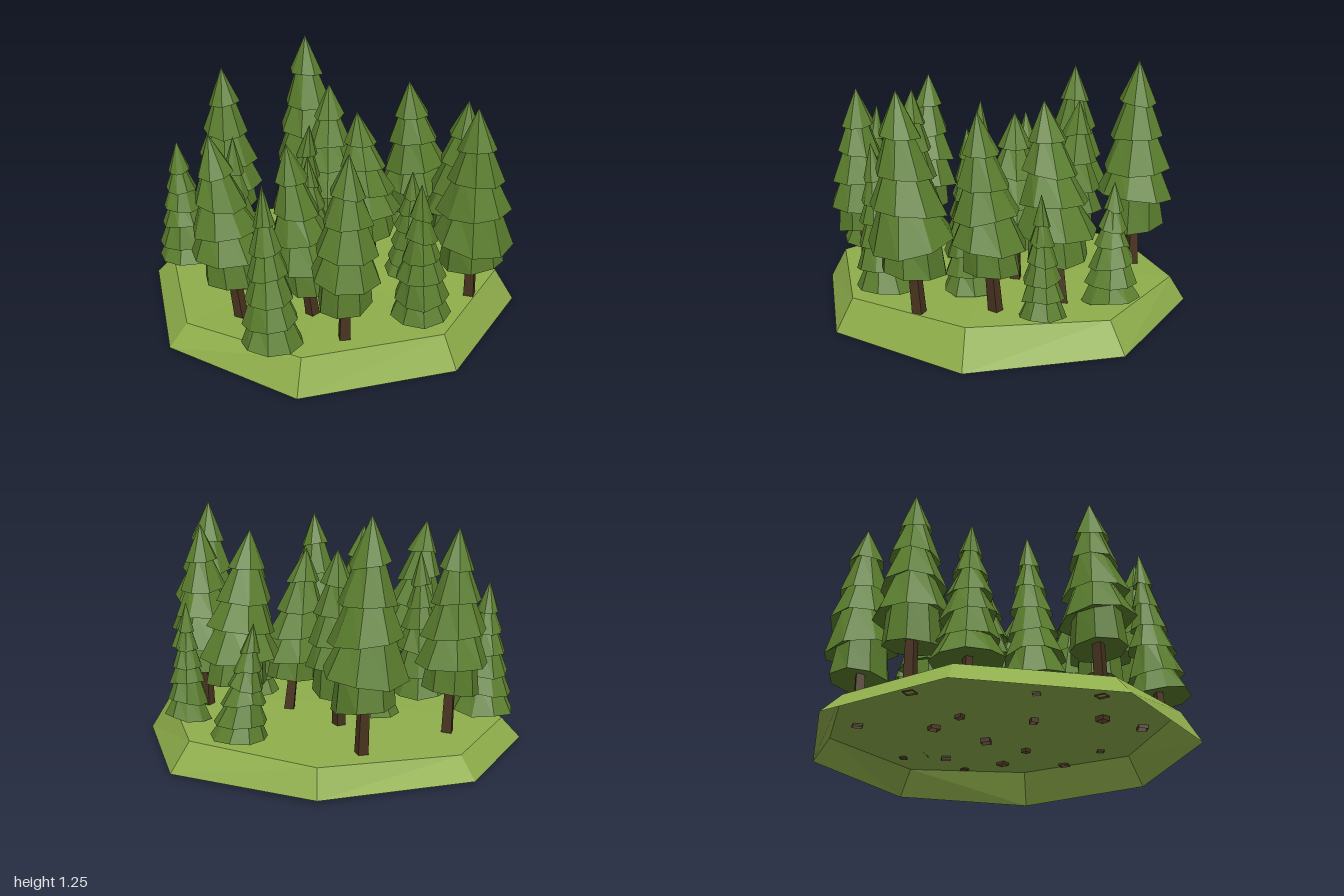
import * as THREE from 'three';

const flat = (name, color, extra = {}) => Object.assign(
  new THREE.MeshStandardMaterial({ color, flatShading: true, ...extra }), { name });

// Repeatable noise between -1 and 1
const noise = (a, b, c) => {
  const s = Math.sin(a * 12.99 + b * 78.23 + c * 37.72) * 43758.55;
  return (s - Math.floor(s)) * 2 - 1;
};

// Tier outlines from the underside to the tip: [share of radius, share of height]
const TALL = [[0, 0.05], [0.76, 0], [0.66, 0.22], [1, 0.18], [0.56, 0.41], [0.87, 0.36],
  [0.43, 0.6], [0.68, 0.55], [0.28, 0.79], [0.48, 0.75], [0, 1]];
const LOW = [[0, 0.04], [1, 0], [0.6, 0.18], [0.9, 0.14], [0.52, 0.34], [0.78, 0.3],
  [0.41, 0.49], [0.64, 0.45], [0.3, 0.64], [0.5, 0.6], [0.18, 0.79], [0.35, 0.76], [0, 1]];

// Base x, z; tip x, z; tip height; radius; foliage bottom; outline
const TREES = [
  [-0.15, -0.71, -0.21, -0.65, 0.73, 0.14, 0.17, LOW],
  [0.27, -0.73, 0.28, -0.72, 0.765, 0.115, 0.18, LOW],
  [0.06, -0.60, 0.08, -0.46, 1.13, 0.2, 0.37, TALL],
  [0.40, -0.53, 0.48, -0.50, 1.125, 0.18, 0.37, TALL],
  [-0.62, -0.34, -0.65, -0.31, 1.245, 0.205, 0.36, TALL],
  [0.71, -0.35, 0.76, -0.27, 1.215, 0.205, 0.37, TALL],
  [-0.27, -0.18, -0.32, -0.23, 1.055, 0.175, 0.33, TALL],
  [0.08, -0.23, 0.03, -0.145, 1.015, 0.18, 0.33, TALL],
  [0.36, -0.25, 0.39, -0.22, 0.78, 0.135, 0.19, LOW],
  [0.70, -0.02, 0.74, 0.05, 0.91, 0.155, 0.19, LOW],
  [-0.26, 0.04, -0.11, 0.06, 0.945, 0.165, 0.2, LOW],
  [0.09, 0.18, 0.09, 0.22, 0.88, 0.155, 0.2, LOW],
  [-0.64, 0.22, -0.665, 0.245, 1.155, 0.185, 0.34, TALL],
  [-0.56, 0.57, -0.565, 0.60, 0.84, 0.165, 0.16, LOW],
  [-0.15, 0.52, -0.17, 0.49, 0.965, 0.165, 0.18, LOW],
  [0.36, 0.39, 0.28, 0.48, 1.07, 0.165, 0.33, TALL],
  [0.62, 0.40, 0.645, 0.40, 1.12, 0.175, 0.37, TALL],
  [0.12, 0.66, 0.03, 0.74, 1.10, 0.185, 0.35, TALL],
  [0.45, 0.70, 0.39, 0.69, 0.965, 0.15, 0.18, LOW],
];

// Open mound: an octagonal sloping wall and a slightly raised top
function groundGeometry() {
  const outer = [[0, 0.01, -1], [0.7, 0, -0.71], [0.985, 0, 0], [0.69, 0, 0.73],
    [-0.02, 0.005, 1], [-0.73, 0.01, 0.69], [-0.99, 0.01, 0.04], [-0.7, 0.015, -0.67]];
  const rim = [[0, 0.15, -0.89], [0.63, 0.175, -0.63], [0.89, 0.16, 0], [0.63, 0.165, 0.66],
    [-0.01, 0.115, 0.9], [-0.66, 0.115, 0.62], [-0.89, 0.11, 0.05], [-0.64, 0.14, -0.62]];
  const index = [];
  for (let i = 0; i < 8; i++) {
    const j = (i + 1) % 8;
    index.push(i, 8 + i, j, j, 8 + i, 8 + j, 16, 8 + j, 8 + i);
  }
  const g = new THREE.BufferGeometry();
  g.setAttribute('position', new THREE.Float32BufferAttribute([...outer, ...rim, [0, 0.165, 0]].flat(), 3));
  g.setIndex(index);
  g.computeVertexNormals();
  return g;
}

// Stacked tiers, each slightly tilted and uneven
function foliageGeometry(profile, radius, height, sides, seed) {
  const g = new THREE.LatheGeometry(profile.map(([r, y]) => new THREE.Vector2(r * radius, y * height)), sides);
  const p = g.attributes.position, n = profile.length;
  for (let i = 0; i < p.count; i++) {
    const ring = i % n, side = Math.floor(i / n) % sides;
    if (ring === 0 || ring === n - 1) continue;
    const tier = Math.floor(ring / 2);
    const k = 1 + 0.05 * noise(ring, side, seed);
    const x = p.getX(i) * k, z = p.getZ(i) * k;
    const tilt = 0.13 * (x * noise(tier, 1, seed) + z * noise(tier, 2, seed));
    p.setXYZ(i, x, p.getY(i) + tilt + 0.008 * noise(side, ring, seed + 5), z);
  }
  g.rotateY(seed * 1.7);
  return g;
}

export function createModel() {
  const grass = flat('grass green', 0x8fae4b, { side: THREE.DoubleSide });
  const needles = flat('needle green', 0x5b7e2e);
  const bark = flat('bark brown', 0x4a3420, { side: THREE.DoubleSide });
  const model = new THREE.Group();
  model.name = 'pineForest';

  const ground = new THREE.Mesh(groundGeometry(), grass);
  ground.name = 'ground';
  model.add(ground);

  TREES.forEach(([bx, bz, tx, tz, top, radius, bottom, profile], i) => {
    const tree = new THREE.Group();
    tree.name = 'pineTree' + (i + 1);
    const base = 0.135 + 0.025 * bx - 0.015 * bz;

    // Open square trunk, rooted just under the grass
    const length = bottom + 0.06 - base;
    const thick = profile === TALL ? 0.036 : 0.026;
    const trunkShape = new THREE.CylinderGeometry(thick * 0.85, thick, length, 4, 1, true);
    trunkShape.rotateY(i * 0.9).translate(0, length / 2, 0);
    const trunk = new THREE.Mesh(trunkShape, bark);
    trunk.name = 'trunk';

    const foliageShape = foliageGeometry(profile, radius, top - bottom, profile === TALL ? 8 : 9, i + 1);
    foliageShape.translate(0, bottom - base, 0);
    const foliage = new THREE.Mesh(foliageShape, needles);
    foliage.name = 'foliage';

    // Lean the whole tree towards its tip
    const sx = (tx - bx) / (top - base), sz = (tz - bz) / (top - base);
    const lean = new THREE.Matrix4().set(1, sx, 0, 0, 0, 1, 0, 0, 0, sz, 1, 0, 0, 0, 0, 1);
    trunkShape.applyMatrix4(lean);
    foliageShape.applyMatrix4(lean);

    tree.add(trunk, foliage);
    tree.position.set(bx, base, bz);
    model.add(tree);
  });
  return model;
}
